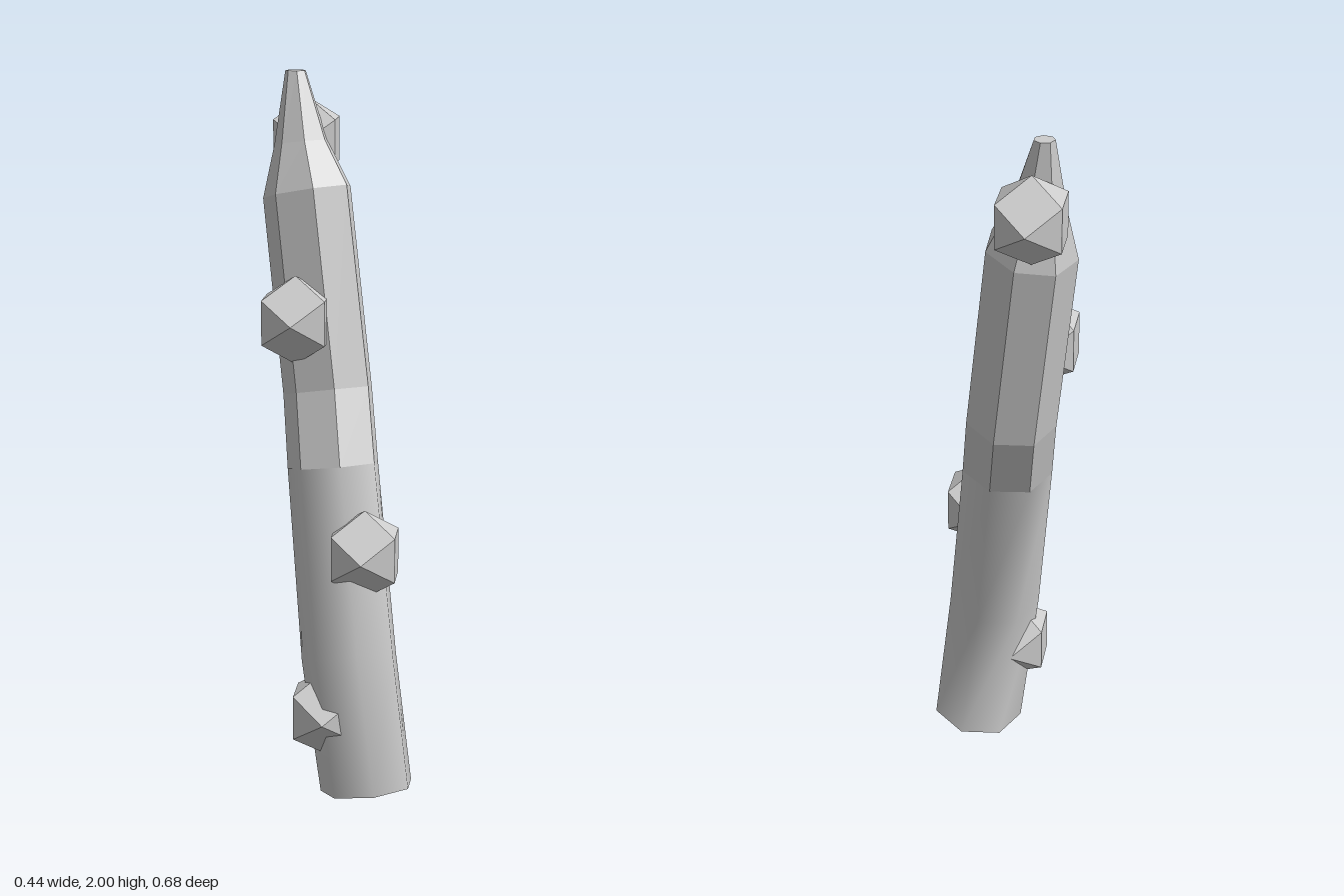
import * as THREE from 'three';
import { ConvexGeometry } from 'three/addons/geometries/ConvexGeometry.js';

const SIDES = 7;

// Ring of corners: centre x, y, z, radius, and the tilt of its plane along x and z
function ring([x, y, z, r, tiltX, tiltZ]) {
  return Array.from({ length: SIDES }, (_, i) => {
    const a = Math.PI + (i * 2 * Math.PI) / SIDES;
    const dx = r * Math.cos(a), dz = r * Math.sin(a);
    return [x + dx, y + dx * tiltX + dz * tiltZ, z + dz];
  });
}

// Open tube skinned through the rings
function loft(rings) {
  const index = [];
  for (let k = 0; k < rings.length - 1; k++) {
    for (let i = 0; i < SIDES; i++) {
      const a = k * SIDES + i, b = k * SIDES + ((i + 1) % SIDES);
      index.push(a, a + SIDES, b, b, a + SIDES, b + SIDES);
    }
  }
  return build(rings.map(ring).flat(), index);
}

// Flat polygon closing one ring
function cap(data, up) {
  const index = [];
  for (let i = 1; i < SIDES - 1; i++) index.push(0, up ? i + 1 : i, up ? i : i + 1);
  return build(ring(data), index);
}

function build(points, index) {
  const g = new THREE.BufferGeometry();
  g.setAttribute('position', new THREE.Float32BufferAttribute(points.flat(), 3));
  g.setIndex(index);
  g.computeVertexNormals();
  return g;
}

// Cuboctahedron standing on a corner
function knobGeometry(r) {
  const pts = [];
  for (const s of [-1, 1]) {
    pts.push(new THREE.Vector3(0, s * r, 0), new THREE.Vector3(0, 0, s * r));
    for (const t of [-1, 1]) {
      for (const u of [-1, 1]) {
        pts.push(new THREE.Vector3(s * r * Math.SQRT1_2, t * r / 2, u * r / 2));
      }
    }
  }
  return new ConvexGeometry(pts);
}

export function createModel() {
  const group = new THREE.Group();
  const smooth = new THREE.MeshStandardMaterial({ color: 0xcccccc });
  const flat = new THREE.MeshStandardMaterial({ color: 0xcccccc, flatShading: true });
  const add = (name, geometry, material) => {
    const mesh = new THREE.Mesh(geometry, material);
    mesh.name = name;
    group.add(mesh);
    return mesh;
  };

  // Bent stalk, from the foot to the narrow tip
  const base = [0.095, 0.027, 0.175, 0.132, 0.12, 0.12];
  const bend = [0.05, 0.42, 0.21, 0.135, 0.12, 0.28];
  const joint = [-0.01, 0.93, 0.065, 0.13, 0.1, 0.16];
  const elbow = [-0.033, 1.125, -0.015, 0.128, 0.12, 0.2];
  const shoulder = [-0.1, 1.67, -0.1, 0.126, 0.16, 0.16];
  const neck = [-0.12, 1.805, -0.12, 0.076, 0.1, 0.12];
  const tip = [-0.14, 2, -0.157, 0.029, 0, 0];

  add('lowerStalk', loft([base, bend, joint]), smooth);
  add('stalkFoot', cap(base, false), flat);
  add('upperStalk', loft([joint, elbow, shoulder]), flat);
  add('taperedTip', loft([shoulder, neck, tip]), flat);
  add('tipEnd', cap(tip, true), flat);

  // Faceted knobs along the stalk
  const knob = knobGeometry(0.123);
  [
    [-0.015, 0.26, 0.217],
    [0.09, 0.717, 0.217],
    [-0.117, 1.335, 0.06],
    [-0.117, 1.802, -0.219],
  ].forEach((p, i) => add(`knob${i + 1}`, knob, flat).position.set(...p));

  return group;
}
